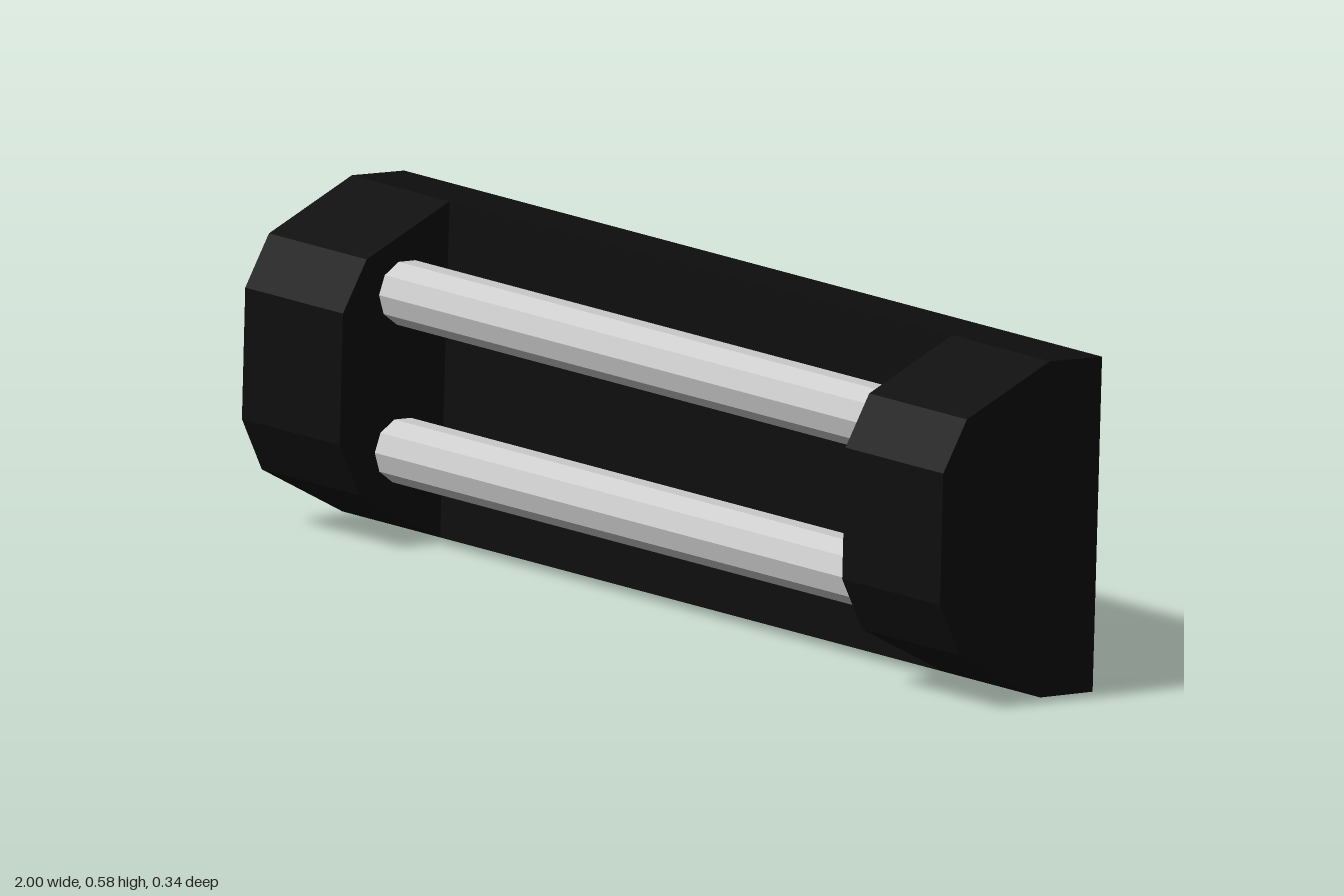
import * as THREE from 'three';

// Housing cross-section as [z, y], from top back round the front to bottom back
const profile = [
  [-0.17, 0.58], [-0.06, 0.585], [0.115, 0.505], [0.165, 0.417],
  [0.172, 0.19], [0.13, 0.098], [-0.04, 0.005], [-0.15, 0.002],
];
const front = profile.slice(1, 7);
const CAP_INNER = 0.72;

const black = new THREE.MeshStandardMaterial({ color: 0x0d0d0d, flatShading: true, side: THREE.DoubleSide });
const grey = new THREE.MeshStandardMaterial({ color: 0xcccccc, flatShading: true });

// Sheet swept along x through a run of [z, y] points
function sheet(name, points, x0, x1) {
  const pos = [];
  for (let i = 0; i < points.length - 1; i++) {
    const [az, ay] = points[i], [bz, by] = points[i + 1];
    pos.push(x0, ay, az, x0, by, bz, x1, by, bz);
    pos.push(x0, ay, az, x1, by, bz, x1, ay, az);
  }
  const geo = new THREE.BufferGeometry();
  geo.setAttribute('position', new THREE.Float32BufferAttribute(pos, 3));
  geo.computeVertexNormals();
  return named(name, geo, black);
}

// Flat wall across the housing at a given x
function wall(name, points, x) {
  const geo = new THREE.ShapeGeometry(new THREE.Shape(points.map(p => new THREE.Vector2(...p))));
  geo.rotateY(-Math.PI / 2).translate(x, 0, 0);
  return named(name, geo, black);
}

function named(name, geo, material) {
  const mesh = new THREE.Mesh(geo, material);
  mesh.name = name;
  return mesh;
}

export function createModel() {
  const model = new THREE.Group();
  model.name = 'twinTubeLight';

  // Open-backed tray: top and bottom rims with a recessed panel
  model.add(sheet('topRim', profile.slice(0, 2), -1, 1));
  model.add(sheet('bottomRim', profile.slice(6), -1, 1));
  model.add(sheet('backPanel', [front[0], front[5]], -CAP_INNER, CAP_INNER));

  // Hollow end caps
  for (const side of [-1, 1]) {
    const cap = new THREE.Group();
    cap.name = side > 0 ? 'leftEndCap' : 'rightEndCap';
    const xs = [side * CAP_INNER, side].sort((a, b) => a - b);
    cap.add(sheet('capShell', front, xs[0], xs[1]));
    cap.add(wall('endWall', profile, side));
    cap.add(wall('innerWall', front, side * CAP_INNER));
    model.add(cap);
  }

  // Tubes, running through the inner walls into the caps
  for (const [name, y, z] of [['upperTube', 0.438, 0.032], ['lowerTube', 0.166, 0.041]]) {
    const geo = new THREE.CylinderGeometry(0.057, 0.057, 1.6, 10);
    geo.rotateZ(Math.PI / 2).rotateX(-0.035);
    const tube = named(name, geo, grey);
    tube.position.set(0, y, z);
    model.add(tube);
  }
  return model;
}
